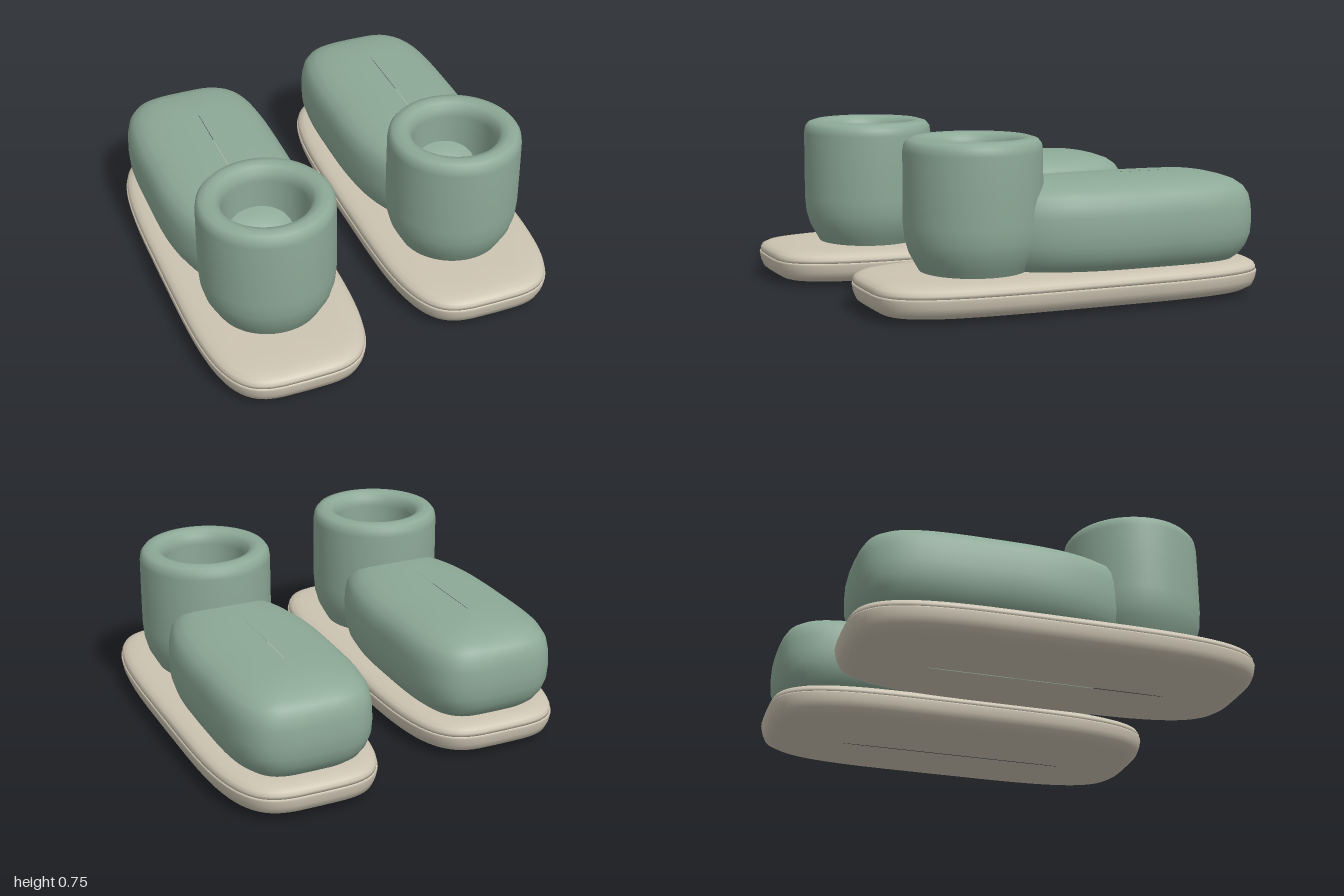
import * as THREE from 'three';

const green = new THREE.MeshStandardMaterial({ color: 0x8da997 });
green.name = 'sage green';
const beige = new THREE.MeshStandardMaterial({ color: 0xcdc4b2 });
beige.name = 'warm beige';

// Stacked superellipse rings; layers are [height, inset], bottom to top
function pad(halfX, halfZ, layers, nFront, nBack) {
  const N = 72, pos = [], idx = [];
  for (const [y, inset] of layers) {
    for (let i = 0; i < N; i++) {
      const t = (i / N) * Math.PI * 2, c = Math.cos(t), s = Math.sin(t);
      const p = 2 / (s > 0 ? nFront : nBack);
      pos.push(
        Math.sign(c) * Math.abs(c) ** p * Math.max(halfX - inset, 0.001), y,
        Math.sign(s) * Math.abs(s) ** p * (halfZ - inset));
    }
  }
  for (let j = 0; j < layers.length - 1; j++) {
    for (let i = 0; i < N; i++) {
      const k = (i + 1) % N;
      const a = j * N + i, b = j * N + k, c = a + N, d = b + N;
      idx.push(a, c, b, b, c, d);
    }
  }
  const g = new THREE.BufferGeometry();
  g.setAttribute('position', new THREE.Float32BufferAttribute(pos, 3));
  g.setIndex(idx);
  g.computeVertexNormals();
  return g;
}

function add(group, name, geometry, material, z = 0) {
  const m = new THREE.Mesh(geometry, material);
  m.name = name;
  m.position.z = z;
  group.add(m);
}

function makeSlipper(name) {
  const slipper = new THREE.Group();
  slipper.name = name;

  // Sole with a fine seam between its two layers
  add(slipper, 'outsole', pad(0.382, 0.92, [
    [0.005, 0.379], [0.006, 0.2], [0.012, 0.11], [0.025, 0.05], [0.045, 0.018],
    [0.075, 0.006], [0.108, 0], [0.115, 0.003], [0.118, 0.015],
  ], 4, 4), beige);
  add(slipper, 'footbed', pad(0.382, 0.92, [
    [0.11, 0.03], [0.116, 0.006], [0.13, 0.005], [0.145, 0.013],
    [0.157, 0.035], [0.164, 0.07], [0.168, 0.14], [0.17, 0.379],
  ], 4, 4), beige);

  // Puffy body, blunt at the back and tapering into the cuff
  add(slipper, 'upper', pad(0.34, 0.635, [
    [0.16, 0.08], [0.19, 0.045], [0.23, 0.02], [0.28, 0.004], [0.34, 0], [0.41, 0.003],
    [0.46, 0.013], [0.495, 0.034], [0.522, 0.07], [0.54, 0.12], [0.552, 0.19],
    [0.558, 0.26], [0.56, 0.339],
  ], 2.4, 4), green, -0.255);

  // Open cuff with a rounded rim and a narrowed foot
  const profile = [
    [0.235, 0.165], [0.255, 0.2], [0.282, 0.25], [0.299, 0.31], [0.305, 0.38], [0.305, 0.55],
    [0.304, 0.69], [0.299, 0.72], [0.283, 0.74], [0.25, 0.75], [0.218, 0.741], [0.198, 0.718],
    [0.19, 0.68], [0.19, 0.165],
  ].map(([r, y]) => new THREE.Vector2(r, y));
  add(slipper, 'cuff', new THREE.LatheGeometry(profile, 56), green, 0.41);

  return slipper;
}

export function createModel() {
  const model = new THREE.Group();
  model.name = 'slippers';
  for (const side of [-1, 1]) {
    const s = makeSlipper(side > 0 ? 'leftSlipper' : 'rightSlipper');
    s.position.set(side * 0.482, -0.005, -side * 0.08);
    model.add(s);
  }
  return model;
}
